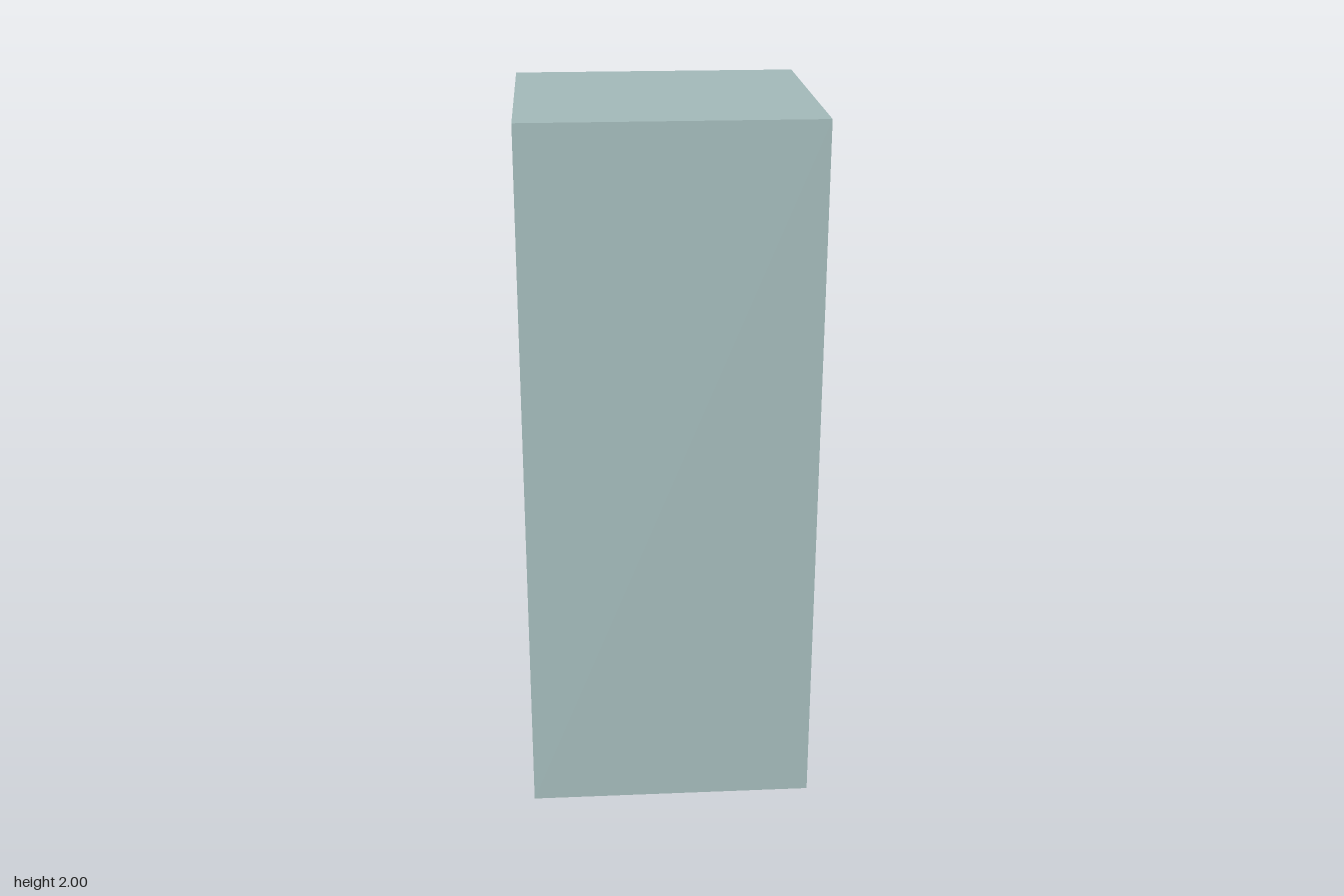
import * as THREE from 'three';
import { RoundedBoxGeometry } from 'three/addons/geometries/RoundedBoxGeometry.js';

const mat = (color) => new THREE.MeshStandardMaterial({ color });

export function createModel() {
  const model = new THREE.Group();
  const shell = mat(0xa3baba), glass = mat(0x2dbac4), metal = mat(0x8c8a8a);
  const dark = mat(0x0c0c0c), keys = mat(0x777575);
  const FACE = -0.363; // plane of the door, which looks towards -z

  const add = (name, geometry, material) => {
    const mesh = new THREE.Mesh(geometry, material);
    mesh.name = name;
    model.add(mesh);
    return mesh;
  };

  // Box given by its limits on each axis, with optional softened edges
  const box = (name, material, x0, x1, y0, y1, z0, z1, radius = 0) => {
    const size = [x1 - x0, y1 - y0, z1 - z0];
    const geometry = radius
      ? new RoundedBoxGeometry(...size, 2, radius)
      : new THREE.BoxGeometry(...size);
    geometry.translate((x0 + x1) / 2, (y0 + y1) / 2, (z0 + z1) / 2);
    return add(name, geometry, material);
  };

  // Rectangular plate with a rectangular opening, running from z0 to z1
  const rectangle = (target, [x0, x1, y0, y1]) =>
    target.moveTo(x0, y0).lineTo(x1, y0).lineTo(x1, y1).lineTo(x0, y1).closePath();
  const frame = (name, material, outer, inner, z0, z1) => {
    const shape = rectangle(new THREE.Shape(), outer);
    shape.holes.push(rectangle(new THREE.Path(), inner));
    const geometry = new THREE.ExtrudeGeometry(shape, { depth: z1 - z0, bevelEnabled: false });
    geometry.translate(0, 0, z0);
    return add(name, geometry, material);
  };

  // Cabinet, door with window opening, and the recessed pane
  const recess = FACE + 0.03;
  box('cabinet', shell, -0.405, 0.405, 0, 2, recess, 0.387);
  frame('doorFrame', shell, [-0.405, 0.405, 0, 2], [-0.21, 0.346, 0.52, 1.95], FACE, recess);
  box('windowPane', glass, -0.21, 0.346, 0.52, 1.95, recess - 0.003, recess + 0.005);

  // Delivery hatch: raised surround with a sunken flap
  frame('hatchFrame', metal, [-0.137, 0.285, 0.347, 0.487], [-0.119, 0.267, 0.367, 0.467], FACE - 0.012, FACE);
  box('hatchFlap', metal, -0.119, 0.267, 0.367, 0.467, FACE - 0.005, FACE);

  // Payment panel
  const panel = -0.376;
  box('paymentPanel', metal, -0.407, -0.257, 0.95, 1.41, panel, FACE);
  box('keypadBase', metal, -0.387, -0.279, 1.25, 1.395, panel - 0.008, panel);
  box('display', dark, -0.382, -0.284, 1.366, 1.388, panel - 0.01, panel);

  // Keypad: three columns by four rows
  for (let row = 0; row < 4; row++) {
    for (let col = 0; col < 3; col++) {
      const x = -0.385 + col * 0.0357, y = 1.256 + row * 0.0265;
      box('key', keys, x, x + 0.031, y, y + 0.021, panel - 0.014, panel - 0.004, 0.002);
    }
  }

  // Note slot, coin slot and coin return button
  box('noteSlot', dark, -0.387, -0.276, 1.196, 1.23, panel - 0.006, panel, 0.002);
  box('coinSlot', dark, -0.308, -0.28, 1.103, 1.154, panel - 0.006, panel, 0.002);
  box('returnButtonRim', dark, -0.366, -0.338, 1.114, 1.134, panel - 0.003, panel);
  box('returnButton', metal, -0.363, -0.341, 1.117, 1.131, panel - 0.005, panel);

  return model;
}
